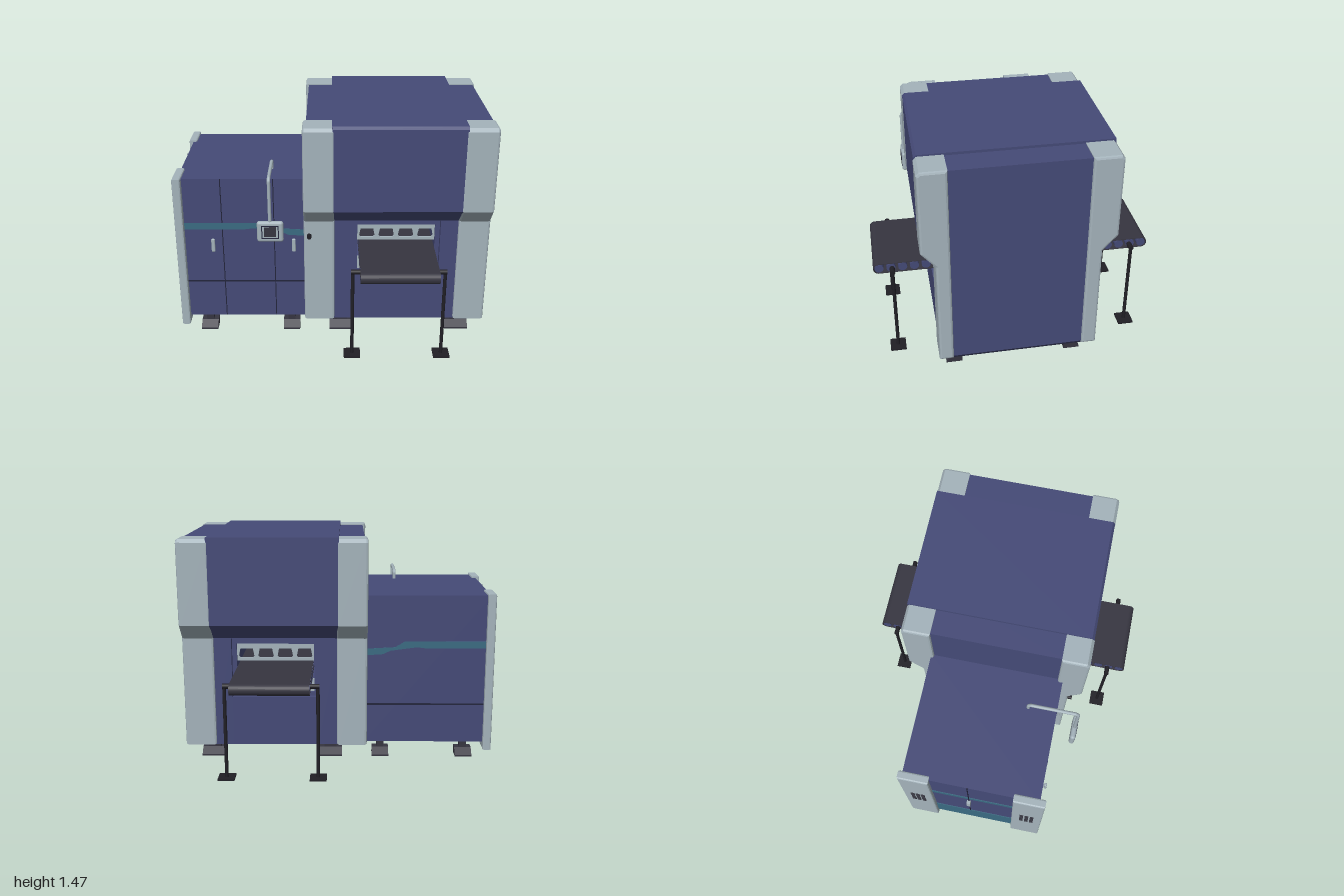
import * as THREE from 'three';
import { RoundedBoxGeometry } from 'three/addons/geometries/RoundedBoxGeometry.js';

const mat = (name, color) => {
  const m = new THREE.MeshStandardMaterial({ color });
  m.name = name;
  return m;
};

export function createModel() {
  const root = new THREE.Group();
  root.name = 'conveyorMachine';
  const blue = mat('navy panel', 0x454a77);
  const gray = mat('pale gray trim', 0xa4b3bb);
  const teal = mat('teal stripe', 0x3a6b82);
  const dark = mat('charcoal', 0x363540);
  const black = mat('black metal', 0x201f25);
  const seam = mat('seam shadow', 0x23253c);

  const add = (name, geo, m) => {
    const mesh = new THREE.Mesh(geo, m);
    mesh.name = name;
    root.add(mesh);
    return mesh;
  };
  // Box given by its limits on each axis
  const box = (name, m, x0, x1, y0, y1, z0, z1) => {
    const g = new THREE.BoxGeometry(x1 - x0, y1 - y0, z1 - z0);
    g.translate((x0 + x1) / 2, (y0 + y1) / 2, (z0 + z1) / 2);
    return add(name, g, m);
  };
  const poly = (pts) => new THREE.Shape(pts.map((p) => new THREE.Vector2(p[0], p[1])));
  // Shape drawn as (-z, y) and extruded from x0 to x1, optionally bevelled
  const alongX = (name, m, shape, x0, x1, bevel = 0) => {
    const g = new THREE.ExtrudeGeometry(shape, {
      depth: x1 - x0 - 2 * bevel, bevelEnabled: bevel > 0, bevelThickness: bevel,
      bevelSize: bevel, bevelOffset: -bevel, bevelSegments: 2, curveSegments: 10,
    });
    g.rotateY(Math.PI / 2);
    g.translate(x0 + bevel, 0, 0);
    return add(name, g, m);
  };
  const side = (pts) => poly(pts.map(([z, y]) => [-z, y]));
  // Shape drawn in x, y and extruded from z0 to z1
  const alongZ = (name, m, shape, z0, z1) => {
    const g = new THREE.ExtrudeGeometry(shape, { depth: z1 - z0, bevelEnabled: false });
    g.translate(0, 0, z0);
    return add(name, g, m);
  };
  const rod = (name, m, r, x, y0, y1, z) => {
    const g = new THREE.CylinderGeometry(r, r, y1 - y0, 16);
    g.translate(x, (y0 + y1) / 2, z);
    return add(name, g, m);
  };

  // Main cabinet: side walls, centre jambs, overhanging hood and sill
  box('leftSideWall', blue, -0.16, 0.135, 0.11, 1.45, -0.4, 0.45);
  box('rightSideWall', blue, 0.685, 0.98, 0.11, 1.45, -0.4, 0.45);
  const hood = [[0.505, 0.82], [0.6, 0.92], [0.6, 1.45], [0.585, 1.466], [-0.56, 1.466], [-0.56, 0.92], [-0.46, 0.82]];
  for (const [x0, x1] of [[0, 0.135], [0.685, 0.81]]) {
    box('doorJamb', blue, x0, x1, 0.11, 0.82, -0.46, 0.505);
  }
  alongX('hood', blue, side(hood), 0, 0.81);
  box('sill', blue, 0.135, 0.685, 0.11, 0.43, -0.46, 0.505);
  for (const x of [-0.161, 0.976]) box('baseSkirt', seam, x, x + 0.005, 0.108, 0.118, -0.38, 0.43);

  // Recessed tunnel frame
  const rect = (x0, x1, y0, y1) => [[x0, y0], [x1, y0], [x1, y1], [x0, y1]];
  const frame = poly(rect(0.135, 0.685, 0.43, 0.82));
  frame.holes.push(poly(rect(0.16, 0.655, 0.455, 0.775)));
  alongZ('tunnelFrame', blue, frame, -0.425, 0.47);

  // Gray guards at both tunnel mouths: windowed top plate and toothed lower plate
  for (const z of [-0.41, 0.44]) {
    const upper = poly(rect(0.16, 0.655, 0.66, 0.775));
    for (let i = 0; i < 4; i++) {
      const x = 0.222 + i * 0.124;
      upper.holes.push(poly([[x - 0.05, 0.69], [x - 0.04, 0.68], [x + 0.04, 0.68], [x + 0.05, 0.69],
        [x + 0.04, 0.74], [x - 0.04, 0.74]]));
    }
    alongZ('upperGuard', gray, upper, z, z + 0.012);
    const teeth = [[0.16, 0.455], [0.655, 0.455], [0.655, 0.54]];
    for (let i = 3; i >= 0; i--) {
      const x = 0.222 + i * 0.124;
      teeth.push([x + 0.052, 0.54], [x + 0.04, 0.482], [x - 0.04, 0.482], [x - 0.052, 0.54]);
    }
    teeth.push([0.16, 0.54]);
    alongZ('lowerGuard', gray, poly(teeth), z, z + 0.012);
  }

  // Corner pillars that follow the overhang
  const frontPillar = [[0.43, 0.11], [0.518, 0.11], [0.518, 0.82], [0.603, 0.92], [0.603, 1.435], [0.585, 1.456], [0.43, 1.456]];
  const backPillar = [[-0.38, 0.11], [-0.472, 0.11], [-0.472, 0.82], [-0.562, 0.92], [-0.562, 1.435], [-0.545, 1.456], [-0.38, 1.456]];
  for (const p of [frontPillar, backPillar]) {
    alongX('cornerPillar', gray, side(p), -0.18, 0.015, 0.014);
    alongX('cornerPillar', gray, side(p), 0.795, 0.995, 0.014);
  }

  // Side cabinet with panel seams, stripes and handles
  box('sideCabinet', blue, -0.965, -0.16, 0.11, 1.085, -0.4, 0.463);
  const stripe = poly([[-0.94, 0.74], [-0.94, 0.785], [-0.42, 0.785], [-0.36, 0.748], [-0.18, 0.738],
    [-0.18, 0.695], [-0.28, 0.702], [-0.33, 0.725], [-0.5, 0.748], [-0.56, 0.74]]);
  for (const [z0, z1] of [[0.461, 0.466], [-0.403, -0.398]]) {
    alongZ('cabinetStripe', teal, stripe, z0, z1);
    box('horizontalSeam', seam, -0.94, -0.18, 0.361, 0.372, z0, z1 - 0.001);
  }
  for (const x of [-0.7, -0.37]) box('doorSeam', seam, x - 0.003, x + 0.003, 0.11, 1.085, 0.46, 0.465);
  for (const x of [-0.76, -0.245]) {
    add('doorHandle', new RoundedBoxGeometry(0.024, 0.09, 0.016, 2, 0.006), gray).position.set(x, 0.637, 0.485);
    box('handleMount', gray, x - 0.007, x + 0.007, 0.61, 0.665, 0.46, 0.48);
  }

  // Cabinet end: doors, teal band, teal kick panel, latch
  box('endStripe', teal, -0.969, -0.964, 0.74, 0.785, -0.24, 0.31);
  box('endKickPanel', teal, -0.969, -0.964, 0.112, 0.34, -0.24, 0.31);
  box('endSeam', seam, -0.97, -0.964, 0.34, 1.085, 0.007, 0.013);
  box('endLatch', gray, -0.99, -0.96, 0.6, 0.69, -0.002, 0.022);

  // Cabinet end posts with vent grids
  for (const [z0, z1] of [[0.3, 0.5], [-0.425, -0.23]]) {
    alongX('endPost', gray, side([[z0, 0.06], [z1, 0.06], [z1, 1.095], [z0, 1.095]]), -0.995, -0.94, 0.01);
    for (let r = 0; r < 7; r++) {
      for (let c = -1; c <= 1; c++) {
        const y = 0.53 + r * 0.029, z = (z0 + z1) / 2 + c * 0.034;
        box('ventSlot', dark, -1, -0.993, y - 0.009, y + 0.009, z - 0.012, z + 0.012);
      }
    }
  }

  // Levelling feet: post plus outward wedge
  for (const [x, w, p] of [[-0.82, 0.11, 0.046], [-0.27, 0.11, 0.046], [0.06, 0.155, 0.08], [0.83, 0.155, 0.08]]) {
    for (const [z, s] of [[0.37, 1], [-0.29, -1]]) {
      const wedge = [[z, 0], [z + s * 0.1, 0], [z + s * 0.1, 0.012], [z + s * 0.055, 0.05], [z, 0.05]];
      alongX('footWedge', dark, side(wedge), x - w / 2, x + w / 2);
      box('footPost', dark, x - p / 2, x + p / 2, 0.04, 0.115, Math.min(z, z + s * 0.053), Math.max(z, z + s * 0.053));
    }
  }

  // Conveyor belt loop and rollers
  const loop = (Type, r) => {
    const s = new Type();
    s.absarc(0.842, 0.595, r, -Math.PI / 2, Math.PI / 2, false);
    s.absarc(-0.842, 0.595, r, Math.PI / 2, Math.PI * 1.5, false);
    s.closePath();
    return s;
  };
  const belt = loop(THREE.Shape, 0.035);
  belt.holes.push(loop(THREE.Path, 0.031));
  alongX('conveyorBelt', dark, belt, 0.17, 0.65);
  for (let i = 0; i < 24; i++) {
    const g = new THREE.CylinderGeometry(0.028, 0.028, 0.476, 16);
    g.rotateZ(Math.PI / 2);
    g.translate(0.41, 0.595, -0.84 + i * 0.07304);
    add('roller', g, blue);
  }

  // Conveyor stands
  for (const z of [-0.76, 0.76]) {
    for (const x of [0.125, 0.692]) {
      rod('standLeg', black, 0.011, x, 0, 0.6, z);
      box('standFoot', black, x - 0.052, x + 0.052, 0, 0.01, z - 0.05, z + 0.05);
      const hub = new THREE.CylinderGeometry(0.016, 0.016, 0.06, 16);
      hub.rotateZ(Math.PI / 2);
      hub.translate(x + (x < 0.4 ? 0.02 : -0.02), 0.592, z);
      add('standHub', hub, black);
    }
  }

  // Control terminal on a bent arm
  const path = new THREE.CurvePath();
  const pts = [[1.08, 0.28], [1.125, 0.28], [1.14, 0.295], [1.14, 0.582], [1.125, 0.597], [0.85, 0.597]]
    .map(([y, z]) => new THREE.Vector3(-0.385, y, z));
  for (let i = 1; i < pts.length; i++) path.add(new THREE.LineCurve3(pts[i - 1], pts[i]));
  add('terminalArm', new THREE.TubeGeometry(path, 80, 0.011, 10, false), gray);
  add('terminalCase', new RoundedBoxGeometry(0.165, 0.138, 0.036, 3, 0.017), gray).position.set(-0.384, 0.79, 0.597);
  const bezel = poly(rect(-0.438, -0.33, 0.745, 0.835));
  bezel.holes.push(poly(rect(-0.432, -0.336, 0.751, 0.829)));
  alongZ('terminalBezel', seam, bezel, 0.612, 0.617);
  box('terminalScreen', dark, -0.421, -0.347, 0.762, 0.826, 0.612, 0.618);

  // Small switch on the front pillar
  const knob = new THREE.CylinderGeometry(0.014, 0.014, 0.035, 16);
  knob.rotateX(Math.PI / 2);
  knob.translate(-0.145, 0.722, 0.532);
  add('switchKnob', knob, black);

  return root;
}
